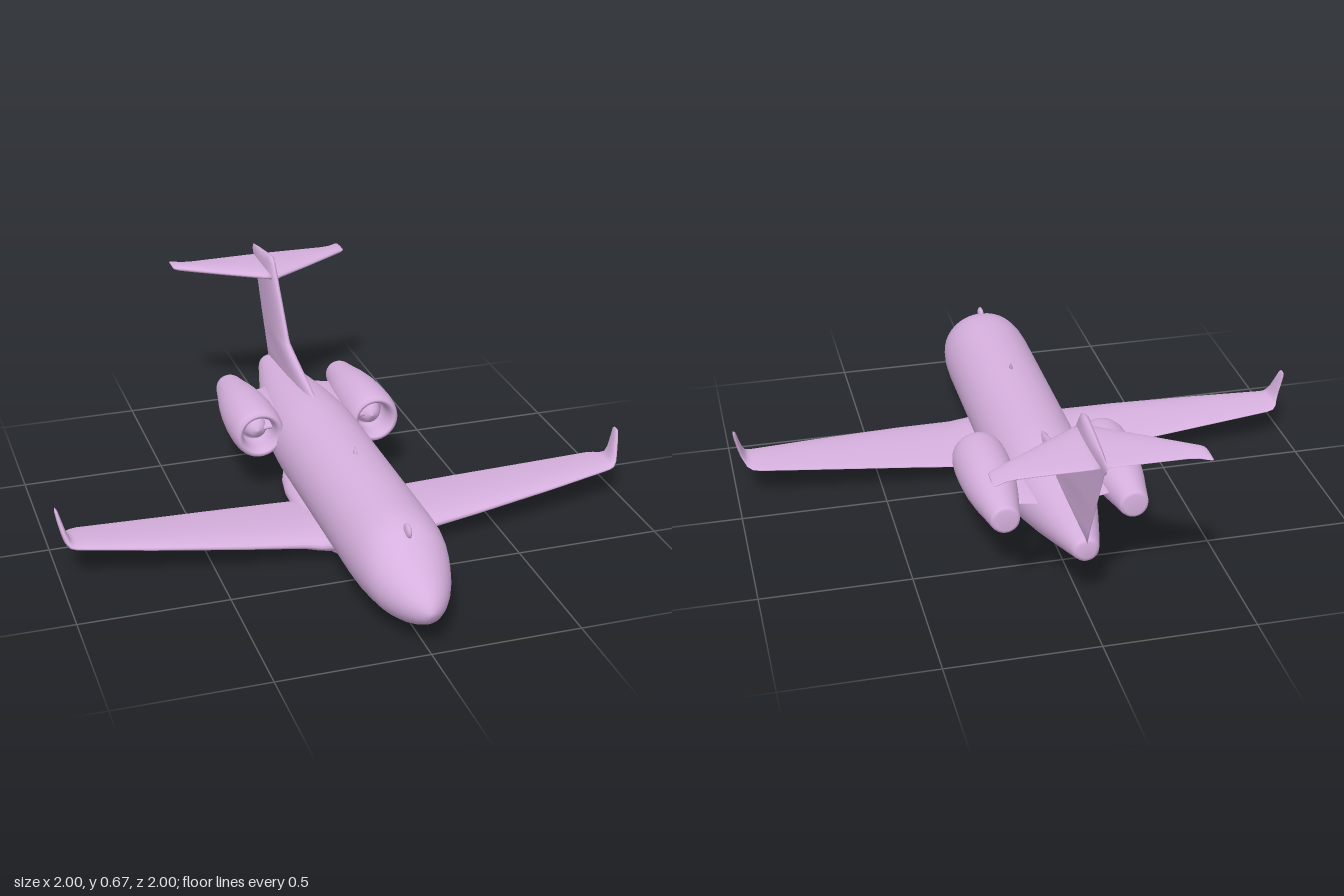
import * as THREE from 'three';

const material = new THREE.MeshStandardMaterial({ color: 0xd6b0de });

// Closed skin over a list of rings with equal point counts, always facing outward.
function loft(name, rings) {
  const n = rings[0].length, last = rings.length - 1;
  const points = rings.flat();
  const faces = [];
  for (let i = 0; i < last; i++) {
    for (let j = 0; j < n; j++) {
      const a = i * n + j, b = i * n + (j + 1) % n;
      faces.push([a, b, a + n], [b, b + n, a + n]);
    }
  }
  for (const k of [0, last]) {
    const middle = new THREE.Vector3();
    rings[k].forEach(p => middle.addScaledVector(p, 1 / n));
    points.push(middle);
    for (let j = 0; j < n; j++) {
      const a = k * n + j, b = k * n + (j + 1) % n;
      faces.push(k ? [a, b, points.length - 1] : [b, a, points.length - 1]);
    }
  }
  let volume = 0;
  for (const [a, b, c] of faces) volume += points[a].dot(points[b].clone().cross(points[c]));
  if (volume < 0) faces.forEach(f => f.reverse());
  const geometry = new THREE.BufferGeometry().setFromPoints(points);
  geometry.setIndex(faces.flat());
  geometry.computeVertexNormals();
  return mesh(name, geometry);
}

function mesh(name, geometry) {
  const m = new THREE.Mesh(geometry, material);
  m.name = name;
  return m;
}

// Body ring from [z, half width, bottom, top].
function bodyRing([z, w, bottom, top]) {
  return Array.from({ length: 40 }, (_, i) => {
    const a = i / 40 * Math.PI * 2;
    return new THREE.Vector3(w * Math.cos(a), (bottom + top) / 2 + (top - bottom) / 2 * Math.sin(a), z);
  });
}

// Aerofoil ring; tilt turns its thickness from upright (0) to sideways (PI / 2).
function foilRing(x, y, lead, trail, thickness, tilt, side = 1) {
  return Array.from({ length: 28 }, (_, i) => {
    const a = i / 28 * Math.PI * 2, c = (1 - Math.cos(a)) / 2;
    const h = thickness * 0.66 * Math.sin(a) * (1 - 0.6 * c);
    return new THREE.Vector3(side * (x - h * Math.sin(tilt)), y + h * Math.cos(tilt), lead + (trail - lead) * c);
  });
}

export function createModel() {
  const group = new THREE.Group();
  group.name = 'businessJet';

  // Fuselage: nose, raised cockpit, long cabin, upswept tail
  group.add(loft('fuselage', [
    [0.998, 0.008, 0.132, 0.148], [0.99, 0.027, 0.113, 0.168], [0.97, 0.05, 0.093, 0.19],
    [0.94, 0.073, 0.075, 0.21], [0.9, 0.096, 0.058, 0.232], [0.85, 0.118, 0.044, 0.256],
    [0.81, 0.131, 0.036, 0.281], [0.77, 0.141, 0.03, 0.311], [0.74, 0.147, 0.027, 0.325],
    [0.69, 0.154, 0.024, 0.334], [0.62, 0.157, 0.022, 0.336], [0.3, 0.157, 0.022, 0.336],
    [0, 0.157, 0.022, 0.336], [-0.15, 0.157, 0.022, 0.336], [-0.22, 0.155, 0.026, 0.334],
    [-0.3, 0.149, 0.038, 0.327], [-0.4, 0.135, 0.061, 0.317], [-0.5, 0.115, 0.09, 0.305],
    [-0.6, 0.092, 0.122, 0.293], [-0.7, 0.067, 0.154, 0.28], [-0.775, 0.047, 0.178, 0.268],
    [-0.795, 0.04, 0.185, 0.262], [-0.8, 0.028, 0.196, 0.252],
  ].map(bodyRing)));

  // Belly fairing around the wing roots
  group.add(loft('bellyFairing', [
    [0.46, 0.02, 0.03, 0.06], [0.41, 0.095, 0.019, 0.09], [0.35, 0.135, 0.011, 0.115],
    [0.26, 0.158, 0.006, 0.13], [0.1, 0.163, 0.003, 0.13], [-0.05, 0.158, 0.003, 0.13],
    [-0.14, 0.142, 0.006, 0.12], [-0.23, 0.11, 0.016, 0.11], [-0.34, 0.03, 0.046, 0.1],
  ].map(bodyRing)));

  // Wings curving up into winglets: [x, y, lead z, trail z, thickness, tilt]
  const wing = [
    [0.05, 0.068, 0.41, 0.035, 0.08, 0.05], [0.155, 0.072, 0.385, 0.04, 0.068, 0.05],
    [0.21, 0.077, 0.37, 0.044, 0.054, 0.06], [0.4, 0.091, 0.346, 0.058, 0.045, 0.07],
    [0.7, 0.111, 0.296, 0.08, 0.034, 0.07], [0.92, 0.126, 0.253, 0.096, 0.026, 0.08],
    [0.944, 0.128, 0.248, 0.104, 0.025, 0.2], [0.96, 0.133, 0.244, 0.122, 0.024, 0.65],
    [0.97, 0.147, 0.236, 0.143, 0.021, 1.1], [0.978, 0.17, 0.222, 0.15, 0.018, 1.3],
    [0.988, 0.21, 0.203, 0.15, 0.015, 1.32], [0.994, 0.238, 0.19, 0.15, 0.011, 1.32],
    [0.996, 0.245, 0.182, 0.156, 0.005, 1.32],
  ];

  // Half of the T-tail, with a swept-back tip
  const tailplane = [
    [0, 0.61, -0.685, -0.962, 0.034, 0], [0.03, 0.61, -0.705, -0.962, 0.032, 0],
    [0.15, 0.609, -0.782, -0.961, 0.028, 0], [0.26, 0.608, -0.856, -0.96, 0.024, 0],
    [0.295, 0.608, -0.879, -0.966, 0.022, 0], [0.318, 0.608, -0.893, -0.98, 0.02, 0],
    [0.33, 0.608, -0.902, -0.985, 0.012, 0], [0.334, 0.608, -0.912, -0.98, 0.004, 0],
  ];

  // Engine nacelle with hollow inlet and spinner: (radius, distance back)
  const nacelle = [
    [0, 0.602], [0.036, 0.602], [0.046, 0.597], [0.05, 0.585], [0.062, 0.52], [0.076, 0.45],
    [0.086, 0.38], [0.092, 0.3], [0.093, 0.23], [0.09, 0.185], [0.085, 0.163], [0.077, 0.152],
    [0.068, 0.154], [0.06, 0.168], [0.055, 0.2], [0.055, 0.25], [0.044, 0.25], [0.038, 0.22],
    [0.024, 0.2], [0, 0.19],
  ].map(([r, d]) => new THREE.Vector2(r, -d));

  for (const side of [1, -1]) {
    const label = side > 0 ? 'left' : 'right';
    group.add(loft(label + 'Wing', wing.map(s => foilRing(...s, side))));
    group.add(loft(label + 'Tailplane', tailplane.map(s => foilRing(...s, side))));

    const engine = mesh(label + 'Engine', new THREE.LatheGeometry(nacelle, 40));
    engine.rotation.x = Math.PI / 2;
    engine.position.set(side * 0.212, 0.243, 0);
    group.add(engine);

    group.add(loft(label + 'Pylon', [
      foilRing(0.08, 0.25, -0.2, -0.54, 0.04, 0, side),
      foilRing(0.2, 0.245, -0.2, -0.5, 0.04, 0, side),
    ]));
  }

  // Fin with its long dorsal fillet: [y, lead z, trail z, thickness]
  group.add(loft('fin', [
    [0.24, -0.12, -0.795, 0.036], [0.315, -0.16, -0.832, 0.036], [0.337, -0.22, -0.843, 0.036],
    [0.36, -0.32, -0.855, 0.036], [0.385, -0.43, -0.868, 0.036], [0.408, -0.515, -0.88, 0.036],
    [0.43, -0.537, -0.891, 0.036], [0.52, -0.604, -0.936, 0.036], [0.59, -0.658, -0.972, 0.036],
    [0.61, -0.672, -0.995, 0.038], [0.625, -0.683, -1, 0.038], [0.642, -0.695, -0.993, 0.034],
    [0.654, -0.705, -0.93, 0.03], [0.668, -0.718, -0.835, 0.024], [0.676, -0.735, -0.78, 0.01],
  ].map(([y, lead, trail, t]) => foilRing(0, y, lead, trail, t, Math.PI / 2))));

  // Small beacon above the cockpit and blade antenna on the cabin roof
  const beacon = mesh('cockpitBeacon', new THREE.SphereGeometry(1, 16, 12));
  beacon.scale.set(0.011, 0.024, 0.028);
  beacon.position.set(0, 0.311, 0.768);
  group.add(beacon);
  group.add(loft('roofAntenna', [
    foilRing(0, 0.325, 0.272, 0.24, 0.014, Math.PI / 2),
    foilRing(0, 0.352, 0.255, 0.242, 0.008, Math.PI / 2),
  ]));

  return group;
}
